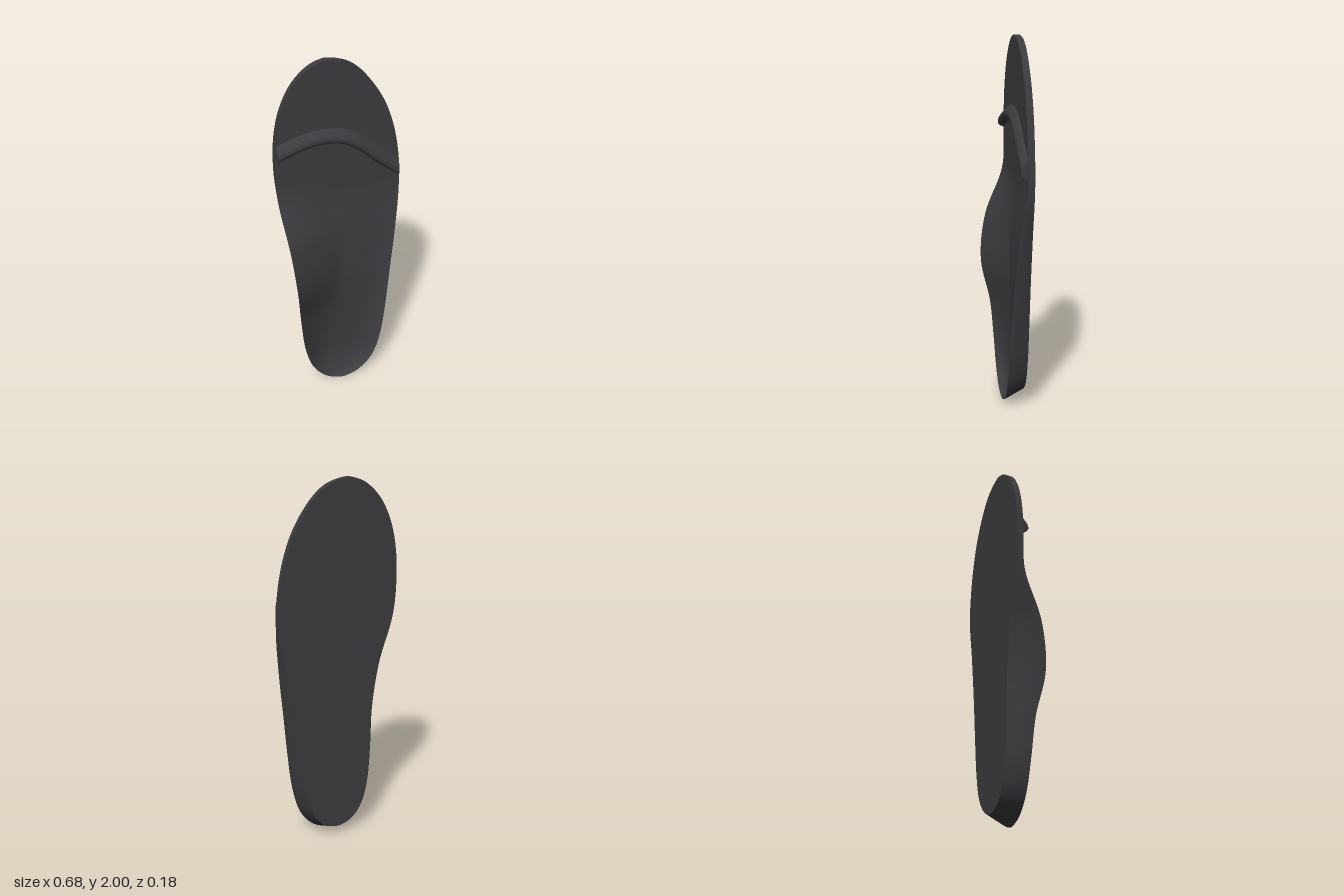
import * as THREE from 'three';
import { toCreasedNormals } from 'three/addons/utils/BufferGeometryUtils.js';

const BACK = -0.09, PLATE = -0.055;

// Smooth interpolation through evenly spaced values, t in 0..1
function track(values) {
  const curve = new THREE.SplineCurve(values.map((v, i) => new THREE.Vector2(i, v)));
  return (t) => curve.getPoint(t).y;
}

// Skin closed rings of [x, y, z] points
function loft(rings, crease) {
  const n = rings[0].length, index = [];
  for (let i = 0; i < rings.length - 1; i++) {
    for (let j = 0; j < n; j++) {
      const k = (j + 1) % n;
      const a = i * n + j, b = i * n + k, c = a + n, d = b + n;
      index.push(a, b, d, a, d, c);
    }
  }
  const geo = new THREE.BufferGeometry();
  geo.setAttribute('position', new THREE.Float32BufferAttribute(rings.flat(2), 3));
  geo.setIndex(index);
  return toCreasedNormals(geo, crease);
}

// Values run from heel to toe at equal steps of angle, y = 1 - cos(angle)
const medialX = track([0, -0.1, -0.185, -0.232, -0.255, -0.28, -0.305, -0.333, -0.34, -0.315, -0.25, -0.155, -0.06]);
const lateralX = track([0, 0.1, 0.185, 0.232, 0.26, 0.285, 0.315, 0.34, 0.32, 0.262, 0.17, 0.065, -0.06]);
const medialRim = track([0.02, 0.02, 0.02, 0.025, 0.042, 0.089, 0.058, -0.045, PLATE, PLATE, PLATE, PLATE, PLATE]);
const lateralRim = track([0.02, 0.02, 0.02, 0.02, 0.013, 0, -0.02, PLATE, PLATE, PLATE, PLATE, PLATE, PLATE]);
const floorZ = track([0.02, -0.012, -0.04, -0.045, -0.038, -0.025, -0.032, PLATE, PLATE, PLATE, PLATE, PLATE, PLATE]);
const medialPower = track([3, 3, 3, 2.5, 1.7, 1.15, 1.3, 1.5, 2, 2, 2, 2, 2]);
const medialInset = track([0, 0.02, 0.04, 0.05, 0.06, 0.075, 0.06, 0.01, 0, 0, 0, 0, 0]);
const lateralInset = track([0, 0.015, 0.03, 0.035, 0.035, 0.03, 0.02, 0, 0, 0, 0, 0, 0]);

// Cross-section of the insole: dished top, leaning side walls, flat back
function insoleRing(t) {
  const y = 1 - Math.cos(Math.PI * t);
  const xm = medialX(t), xl = lateralX(t);
  const zm = Math.max(PLATE, medialRim(t)), zl = Math.max(PLATE, lateralRim(t));
  const zf = Math.max(PLATE, floorZ(t));
  const lift = 0.055 * Math.max(0, 1 - y / 0.5) ** 2;
  const ring = [];
  const TOP = 40, WALL = 6, BASE = 12;
  for (let j = 0; j <= TOP; j++) {
    const u = (j / TOP) * 2 - 1;
    const f = u < 0 ? (-u) ** medialPower(t) : u ** 3;
    ring.push([THREE.MathUtils.lerp(xm, xl, (u + 1) / 2), y, zf + ((u < 0 ? zm : zl) - zf) * f]);
  }
  const wall = (x, z, inset, k) => {
    const s = k ** 1.5;
    return [x + inset * s, y + lift * k, THREE.MathUtils.lerp(z, BACK, k)];
  };
  const bm = xm + medialInset(t), bl = xl - lateralInset(t);
  for (let j = 1; j <= WALL; j++) ring.push(wall(xl, zl, -lateralInset(t), j / WALL));
  for (let j = 1; j < BASE; j++) ring.push([THREE.MathUtils.lerp(bl, bm, j / BASE), y + lift, BACK]);
  for (let j = WALL; j >= 1; j--) ring.push(wall(xm, zm, medialInset(t), j / WALL));
  return ring;
}

// Curved toe bar, a low rounded section swept across the forefoot
function toeBarRings() {
  const path = new THREE.SplineCurve([
    [-0.336, 1.535], [-0.22, 1.575], [-0.1, 1.597], [0.02, 1.583],
    [0.12, 1.53], [0.22, 1.445], [0.336, 1.355],
  ].map(([x, y]) => new THREE.Vector2(x, y)));
  const profile = [[0.045, -0.07], [0.042, -0.056], [0.028, -0.043], [0.012, -0.027], [-0.004, -0.02],
    [-0.02, -0.021], [-0.032, -0.03], [-0.038, -0.044], [-0.041, -0.056], [-0.041, -0.07]];
  const rings = [];
  for (let i = 0; i <= 48; i++) {
    const p = path.getPoint(i / 48);
    const g = path.getTangent(i / 48);
    // ends are trimmed straight along the sides, leaning slightly inward
    rings.push(profile.map(([d, z]) => [p.x * (1 - 0.6 * (z + 0.07)), p.y + d / g.x, z]));
  }
  const cap = (ring) => {
    const c = [0, 1, 2].map((k) => ring.reduce((s, p) => s + p[k], 0) / ring.length);
    return ring.map(() => c);
  };
  return [cap(rings[0]), ...rings, cap(rings[rings.length - 1])];
}

export function createModel() {
  const group = new THREE.Group();
  group.name = 'shoeInsole';
  const material = new THREE.MeshStandardMaterial({ color: 0x3c3c40 });

  const rings = [];
  for (let i = 0; i <= 110; i++) rings.push(insoleRing(i / 110));
  const body = new THREE.Mesh(loft(rings, 0.7), material);
  body.name = 'insoleBody';

  const bar = new THREE.Mesh(loft(toeBarRings(), 0.9), material);
  bar.name = 'toeBar';

  group.add(body, bar);
  return group;
}
